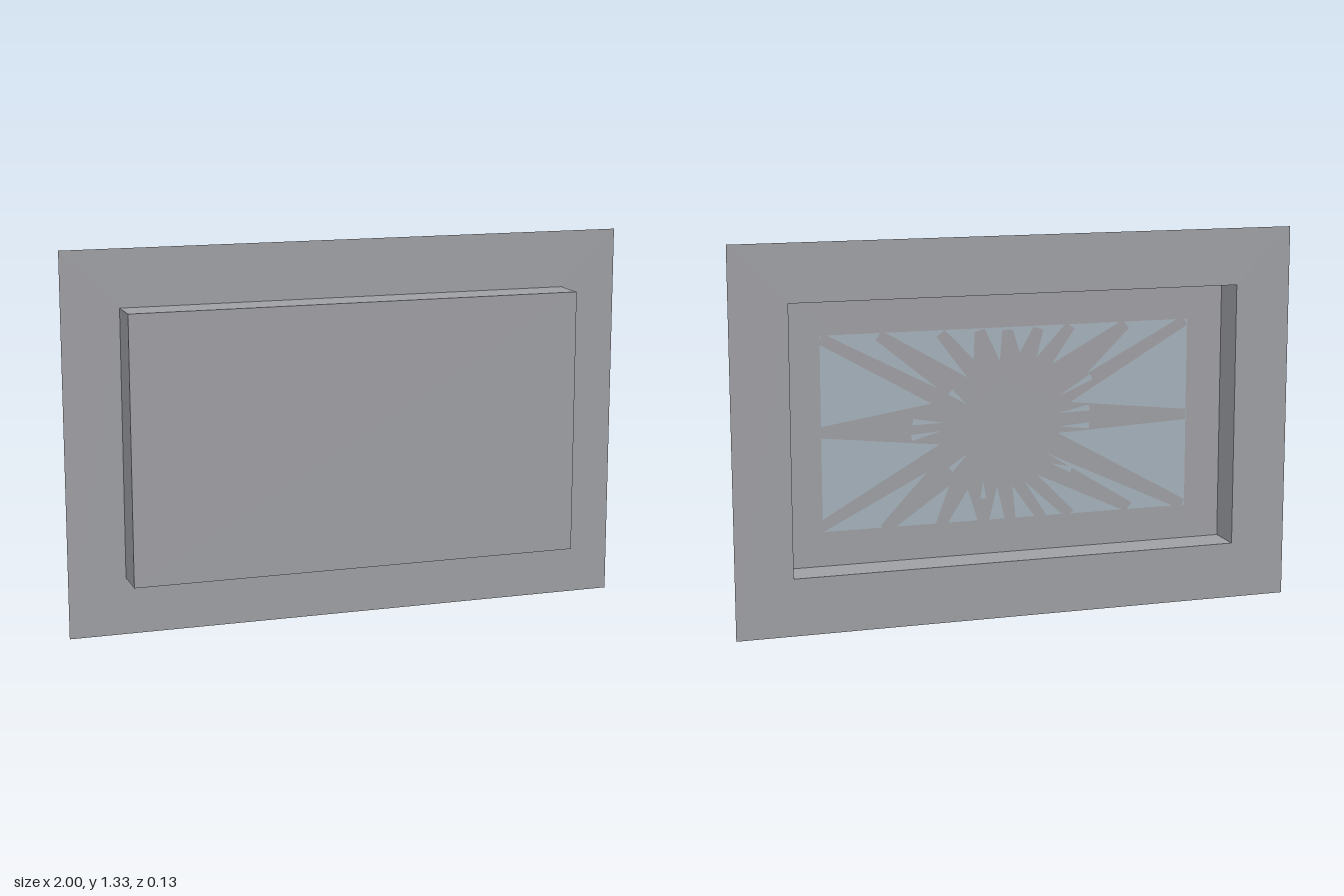
import * as THREE from 'three';

const W = 1.6, H = 0.933, D = 0.133, CY = 0.667;

export function createModel() {
  const group = new THREE.Group();
  const grey = new THREE.MeshStandardMaterial({ color: 0x9fa0a4, side: THREE.DoubleSide });
  grey.name = 'grey wall';
  const blue = new THREE.MeshStandardMaterial({ color: 0xa4b2bb, side: THREE.DoubleSide });
  blue.name = 'pale blue glass';

  const add = (name, geometry, material, x, y, z) => {
    const mesh = new THREE.Mesh(geometry, material);
    mesh.name = name;
    mesh.position.set(x, y, z);
    group.add(mesh);
    return mesh;
  };
  const polygon = (pts) => new THREE.Shape(pts.map(([x, y]) => new THREE.Vector2(x, y)));
  const rect = (w, h) => polygon([[-w / 2, -h / 2], [w / 2, -h / 2], [w / 2, h / 2], [-w / 2, h / 2]]);

  // Flat sheet around the recess opening
  const sheet = rect(2, 1.333);
  sheet.holes.push(rect(W, H));
  add('backSheet', new THREE.ShapeGeometry(sheet), grey, 0, CY, -D / 2);

  // Shallow box, open at the back
  add('frontPanel', new THREE.PlaneGeometry(W, H), grey, 0, CY, D / 2);
  for (const s of [1, -1]) {
    add(s > 0 ? 'leftWall' : 'rightWall', new THREE.PlaneGeometry(D, H), grey, s * W / 2, CY, 0)
      .rotation.y = s * Math.PI / 2;
    add(s > 0 ? 'topWall' : 'bottomWall', new THREE.PlaneGeometry(W, D), grey, 0, CY + s * H / 2, 0)
      .rotation.x = -s * Math.PI / 2;
  }

  // Glass pane on the inner face of the front panel
  add('glassPane', new THREE.PlaneGeometry(1.336, 0.68), blue, 0, CY - 0.005, D / 2 - 0.001);

  // Burst of cracks: blunt ray tips, each followed by the valley after it
  const rays = [
    [0.666, 0.325, 0.256, 0.133], [0.463, 0.327, 0.149, 0.166],
    [0.244, 0.324, 0.126, 0.228], [0.104, 0.328, 0.031, 0.218],
    [0.003, 0.326, -0.042, 0.243], [-0.11, 0.326, -0.104, 0.224],
    [-0.228, 0.33, -0.16, 0.198], [-0.435, 0.326, -0.289, 0.156],
    [-0.66, 0.33, -0.228, 0.058], [-0.666, -0.01, -0.183, -0.05],
    [-0.66, -0.341, -0.138, -0.118], [-0.452, -0.336, -0.104, -0.194],
    [-0.228, -0.345, -0.059, -0.216], [-0.121, -0.348, -0.014, -0.228],
    [-0.008, -0.355, 0.042, -0.227], [0.093, -0.356, 0.149, -0.231],
    [0.25, -0.354, 0.216, -0.213], [0.452, -0.352, 0.295, -0.158],
    [0.675, -0.328, 0.25, -0.064], [0.675, 0.002, 0.278, 0.081],
  ];
  const star = [];
  for (const [x, y, vx, vy] of rays) {
    const k = 0.019 / Math.hypot(x, y);
    star.push([x + y * k, y - x * k], [x - y * k, y + x * k], [vx, vy]);
  }
  add('crackBurst', new THREE.ShapeGeometry(polygon(star)), grey, 0, CY, D / 2 - 0.002);

  // Slivers of glass left between the cracks: outer end, inner end
  const slivers = [
    [0.346, 0.02, 0.233, 0.012], [0.351, -0.035, 0.244, -0.017],
    [0.211, 0.119, 0.154, 0.073], [-0.306, 0.145, -0.188, 0.083],
    [-0.3, 0.035, -0.183, 0.021], [-0.3, -0.029, -0.188, -0.027],
    [0.211, -0.156, 0.149, -0.103], [0.093, -0.267, 0.093, -0.205],
    [-0.233, -0.185, -0.16, -0.158],
  ];
  for (const [ox, oy, ix, iy] of slivers) {
    const k = 0.011 / Math.hypot(ox - ix, oy - iy);
    const px = (oy - iy) * k, py = (ix - ox) * k;
    const shape = polygon([[ix, iy], [ox + px, oy + py], [ox - px, oy - py]]);
    add('glassSliver', new THREE.ShapeGeometry(shape), blue, 0, CY, D / 2 - 0.003);
  }

  // Ragged patch at the centre of the burst
  const patch = polygon([
    [0.11, 0.151], [0.02, 0.165], [-0.065, 0.142], [-0.07, 0.108], [-0.143, 0.081],
    [-0.149, -0.029], [-0.121, -0.123], [-0.059, -0.19], [0.003, -0.161], [0.076, -0.181],
    [0.143, -0.148], [0.166, -0.088], [0.205, -0.062], [0.199, 0.005], [0.126, 0.081],
  ]);
  add('centrePatch', new THREE.ShapeGeometry(patch), grey, 0, CY, D / 2 - 0.004);

  return group;
}
